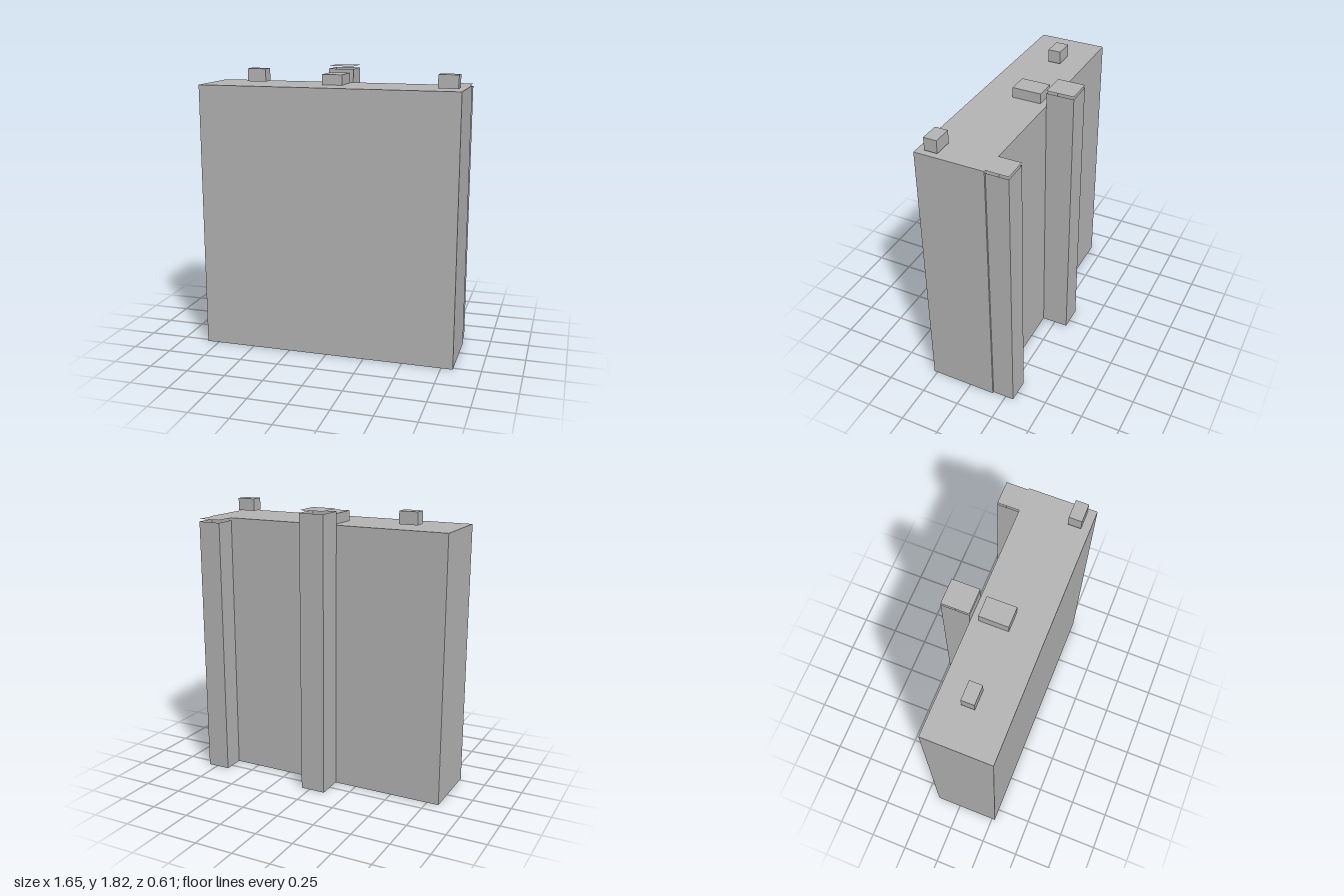
import * as THREE from 'three';

const grey = new THREE.MeshStandardMaterial({ color: 0xb4b4b4, side: THREE.DoubleSide });
grey.name = 'concrete grey';

// Box from min/max corners; only the listed faces are kept
// (0 +x, 1 -x, 2 top, 3 bottom, 4 front, 5 back).
function block(name, [x0, x1], [y0, y1], [z0, z1], faces = [0, 1, 2, 3, 4, 5]) {
  const geo = new THREE.BoxGeometry(x1 - x0, y1 - y0, z1 - z0);
  const index = Array.from(geo.index.array);
  geo.setIndex(faces.flatMap((f) => index.slice(f * 6, f * 6 + 6)));
  geo.clearGroups();
  geo.translate((x0 + x1) / 2, (y0 + y1) / 2, (z0 + z1) / 2);
  const mesh = new THREE.Mesh(geo, grey);
  mesh.name = name;
  return mesh;
}

// Open shaft with a flat roof panel hovering just above its walls
function shaft(name, x, z, top) {
  const group = new THREE.Group();
  group.name = name;
  group.add(block(name + 'Walls', x, [0, top - 0.017], z, [0, 1, 4, 5]));
  const roof = new THREE.Mesh(new THREE.PlaneGeometry(x[1] - x[0], z[1] - z[0]), grey);
  roof.name = name + 'Roof';
  roof.rotation.x = -Math.PI / 2;
  roof.position.set((x[0] + x[1]) / 2, top, (z[0] + z[1]) / 2);
  group.add(roof);
  return group;
}

export function createModel() {
  const model = new THREE.Group();
  model.name = 'slabBuilding';

  // Main slab, open underneath
  model.add(block('mainBuilding', [-0.828, 0.825], [0, 1.715], [-0.163, 0.272], [0, 1, 2, 4, 5]));

  // Service shafts on the back wall
  model.add(shaft('stairTower', [-0.105, 0.058], [-0.337, -0.163], 1.817));
  model.add(shaft('sideShaft', [0.662, 0.814], [-0.303, -0.163], 1.715));

  // Rooftop units
  model.add(block('roofHousing', [-0.083, 0.047], [1.715, 1.78], [-0.12, 0.064]));
  model.add(block('rightRoofUnit', [-0.58, -0.458], [1.726, 1.807], [-0.018, 0.063]));
  model.add(block('leftRoofUnit', [0.676, 0.798], [1.726, 1.807], [0.137, 0.219]));

  return model;
}
